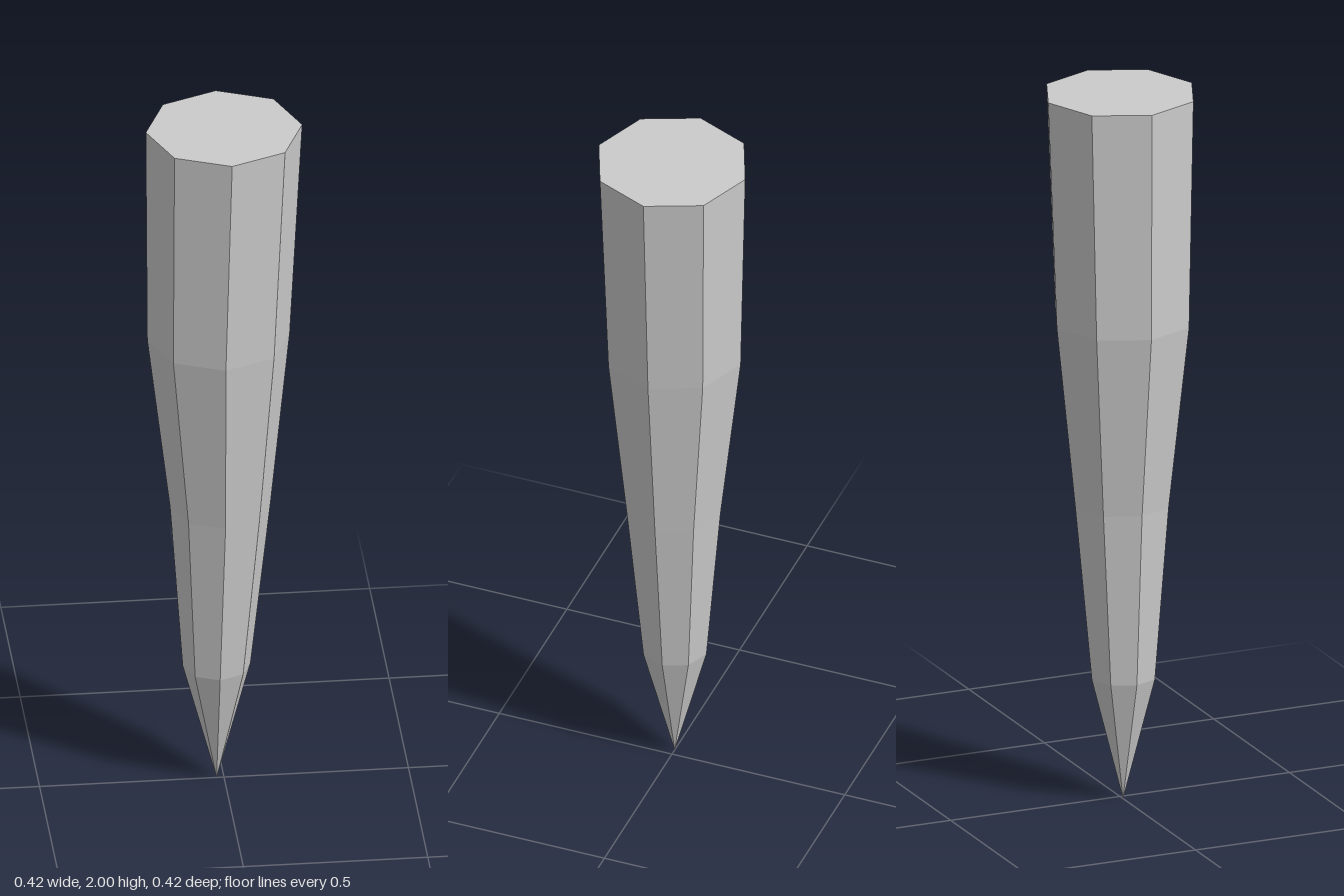
import * as THREE from 'three';

// Rings from tip to top: radius, height, sideways shift of the centre
const RINGS = [
  [0, 0, -0.02],
  [0.092, 0.35, -0.02],
  [0.136, 0.84, -0.01],
  [0.193, 1.36, -0.015],
  [0.212, 2, 0],
  [0, 2, 0], // closes the flat top
];

export function createModel() {
  const group = new THREE.Group();
  group.name = 'stake';

  // Eight-sided tapering shaft
  const profile = RINGS.map(([r, y]) => new THREE.Vector2(r, y));
  const lathe = new THREE.LatheGeometry(profile, 8);

  // Shift each ring sideways for the slightly crooked carving
  const pos = lathe.attributes.position;
  for (let i = 0; i < pos.count; i++) {
    pos.setX(i, pos.getX(i) + RINGS[i % RINGS.length][2]);
  }

  const geometry = lathe.toNonIndexed();
  geometry.computeVertexNormals();
  const material = new THREE.MeshStandardMaterial({ color: 0xcccccc, flatShading: true });
  const shaft = new THREE.Mesh(geometry, material);
  shaft.name = 'pointedShaft';
  group.add(shaft);
  return group;
}
